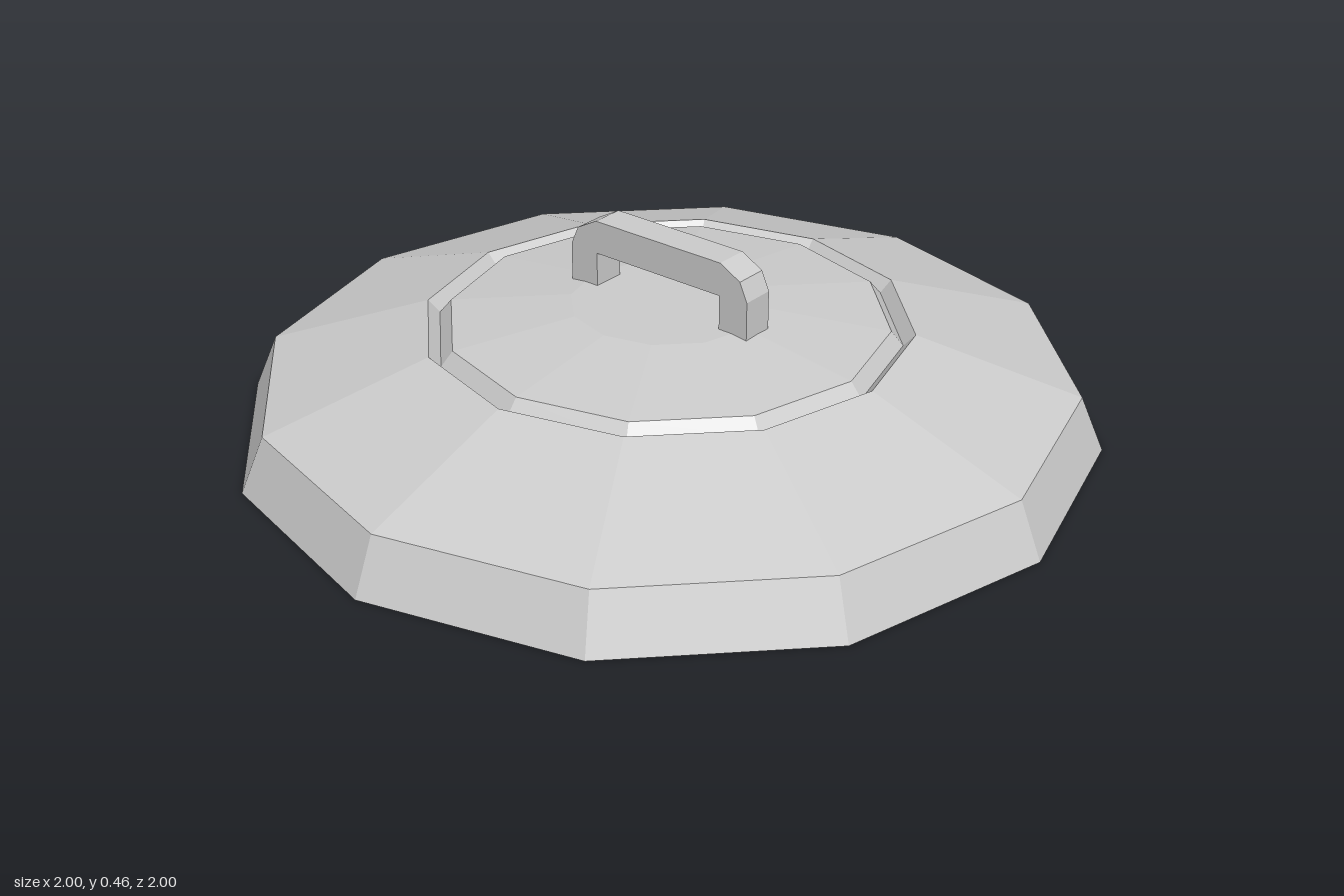
import * as THREE from 'three';

export function createModel() {
  const group = new THREE.Group();
  const material = new THREE.MeshStandardMaterial({ color: 0xcccccc, flatShading: true });

  // Twelve-sided lid: closed base, sloped rim, shallow cone, V groove, raised centre
  const profile = [
    [0, 0], [1, 0], [0.945, 0.13], [0.565, 0.257], [0.538, 0.228],
    [0.51, 0.262], [0.225, 0.298], [0, 0.298],
  ].map(([r, y]) => new THREE.Vector2(r, y));
  const lid = new THREE.Mesh(new THREE.LatheGeometry(profile, 12), material);
  lid.name = 'lid';
  group.add(lid);

  // Arched handle: right half of the outline, mirrored to the left
  const half = [
    [0.178, 0.28], [0.255, 0.28], [0.255, 0.385], [0.235, 0.43], [0.18, 0.46],
  ];
  const mirrored = half.map(([x, y]) => [-x, y]).reverse();
  const outline = [[0.178, 0.38], ...half, ...mirrored, [-0.178, 0.38]];
  const depth = 0.08;
  const handleGeometry = new THREE.ExtrudeGeometry(
    new THREE.Shape(outline.map(([x, y]) => new THREE.Vector2(x, y))),
    { depth, bevelEnabled: false },
  );
  handleGeometry.translate(0, 0, -depth / 2);
  const handle = new THREE.Mesh(handleGeometry, material);
  handle.name = 'handle';
  group.add(handle);

  return group;
}
